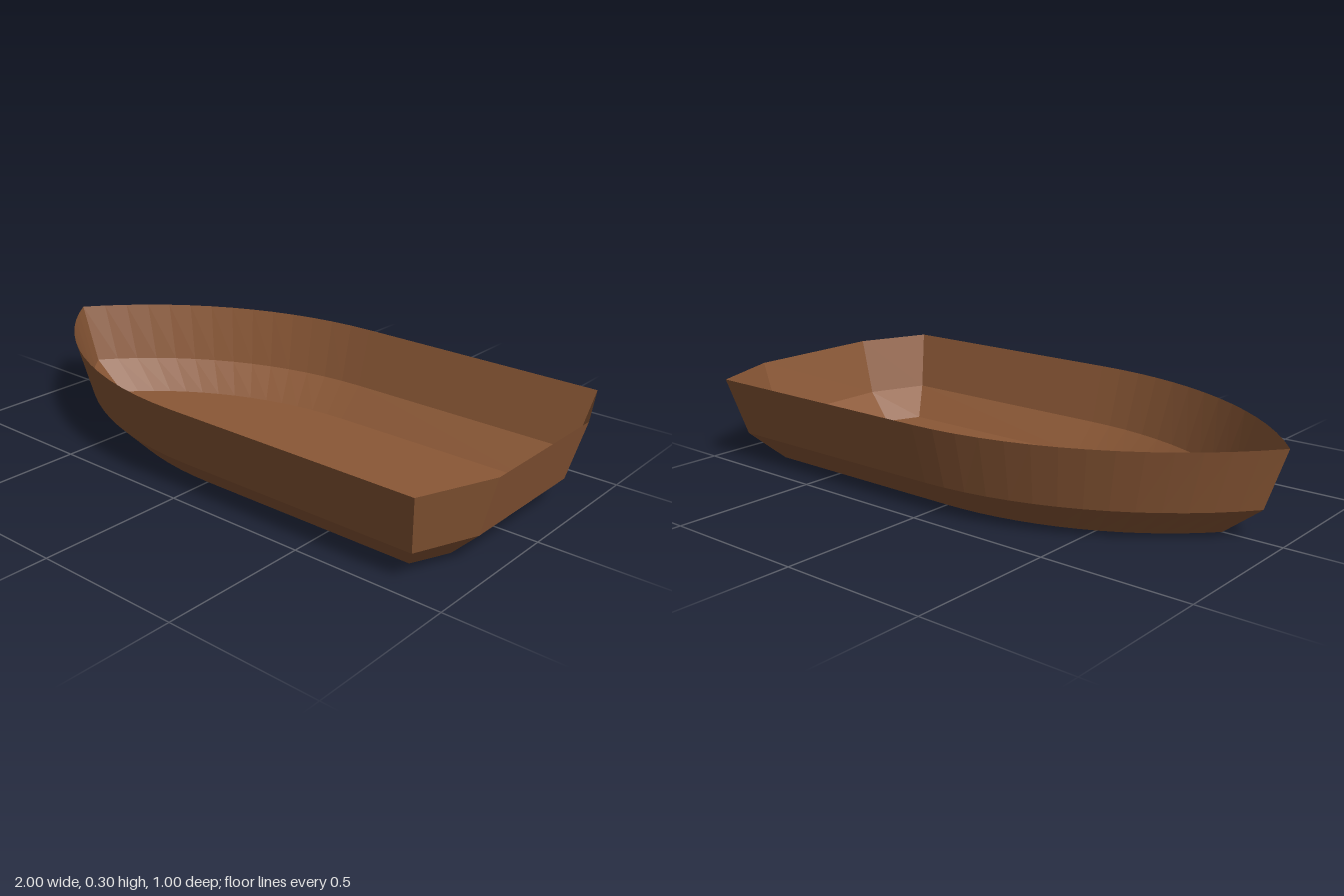
import * as THREE from 'three';

const CURVE_STEPS = 14;

// Outline of the hull at one height: curved bow at -x, angled transom at +x
function outline({ y, bow, half, corner, stern, sternHalf }) {
  const side = [];
  const radius = 1.25;
  const sweep = Math.asin(1 / radius);
  for (let i = 0; i <= CURVE_STEPS; i++) {
    const a = sweep * (1 - i / CURVE_STEPS);
    const x = -radius * Math.sin(a) * bow;
    const z = (radius * Math.cos(a) - 0.75) * 2 * half;
    side.push([x, y, z]);
  }
  side.push([corner, y, half], [stern, y, sternHalf]);
  const mirrored = side.slice(1).reverse().map(([x, h, z]) => [x, h, -z]);
  return [...side, ...mirrored];
}

function meshFrom(name, positions, material) {
  const geometry = new THREE.BufferGeometry();
  geometry.setAttribute('position', new THREE.Float32BufferAttribute(positions.flat(), 3));
  geometry.computeVertexNormals(); // unshared corners give flat facets
  const mesh = new THREE.Mesh(geometry, material);
  mesh.name = name;
  return mesh;
}

// Band of planking between two outlines
function band(name, low, high, material) {
  const p = [];
  low.forEach((a, i) => {
    const j = (i + 1) % low.length;
    p.push(a, low[j], high[j], a, high[j], high[i]);
  });
  return meshFrom(name, p, material);
}

export function createModel() {
  const wood = new THREE.MeshStandardMaterial({ color: 0x8b5836, side: THREE.DoubleSide });
  wood.name = 'brown wood';

  const keel = outline({ y: 0, bow: 0.8, half: 0.347, corner: 0.79, stern: 0.845, sternHalf: 0.22 });
  const chine = outline({ y: 0.1, bow: 0.93, half: 0.445, corner: 0.863, stern: 0.945, sternHalf: 0.24 });
  const rim = outline({ y: 0.3, bow: 1, half: 0.5, corner: 0.9, stern: 1, sternHalf: 0.25 });

  // Flat bottom as a fan
  const floor = [];
  keel.forEach((a, i) => floor.push([0, 0, 0], keel[(i + 1) % keel.length], a));

  const boat = new THREE.Group();
  boat.name = 'boatHull';
  boat.add(
    meshFrom('bottom', floor, wood),
    band('lowerHull', keel, chine, wood),
    band('upperHull', chine, rim, wood),
  );
  return boat;
}
